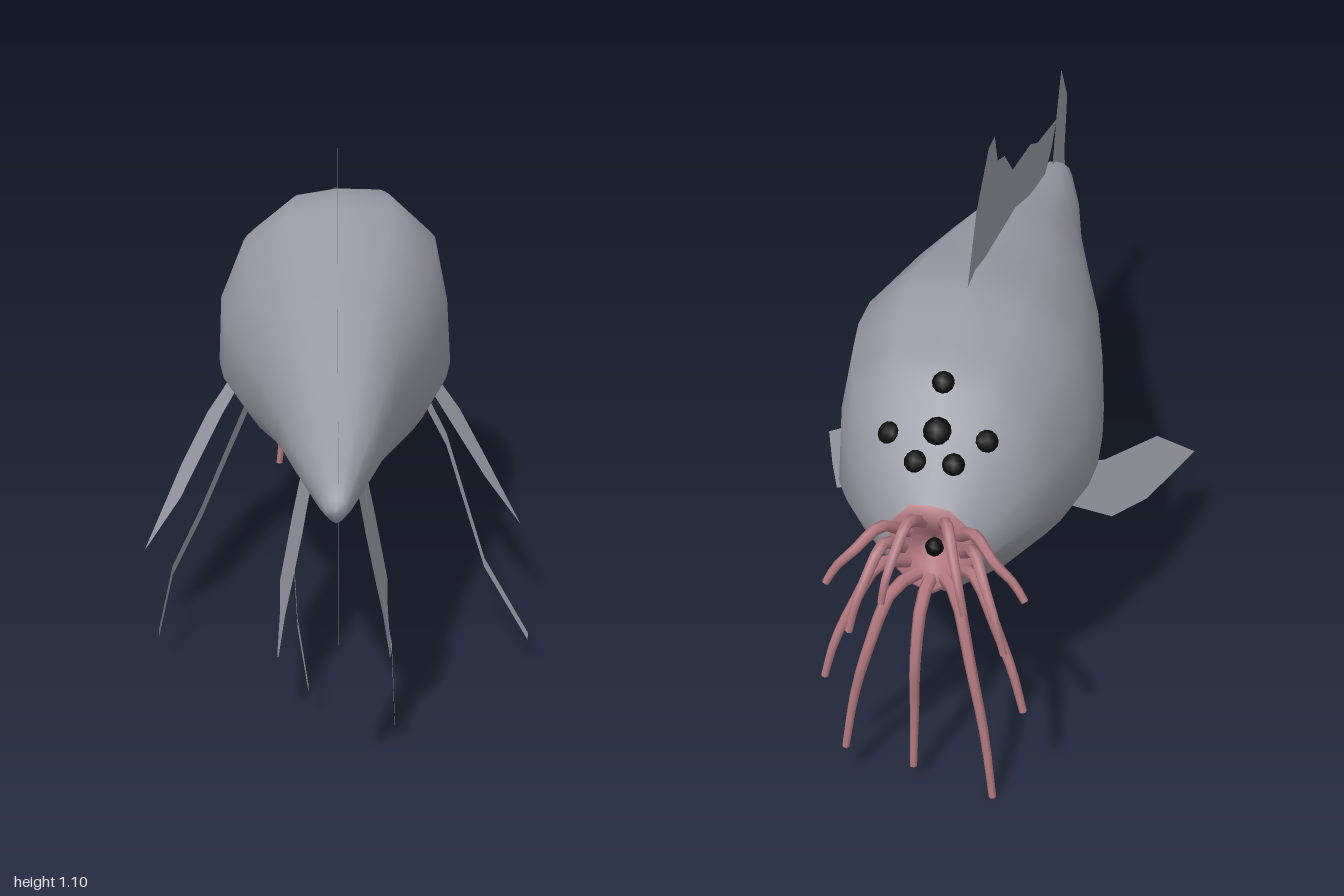
import * as THREE from 'three';

const mat = (name, color) => {
  const m = new THREE.MeshStandardMaterial({ color, side: THREE.DoubleSide });
  m.name = name;
  return m;
};

// Unit cross-section, clockwise from the top when seen from the tail
const SECTION = [
  [0.02, 1], [0.48, 0.99], [0.86, 0.7], [0.97, 0.24], [1, -0.17], [0.79, -0.5], [0.45, -0.82],
  [0.02, -1], [-0.42, -0.76], [-0.78, -0.46], [-1, -0.17], [-0.98, 0.26], [-0.78, 0.68], [-0.4, 0.94],
];

// Skin over cross-sections; each station is [z, top, bottom, half width]
function loft(stations) {
  const pos = [], idx = [], n = SECTION.length;
  stations.forEach(([z, top, bottom, hw], i) => {
    const mid = (top + bottom) / 2, hh = (top - bottom) / 2;
    SECTION.forEach(([u, v], j) => {
      pos.push(u * hw + 0.003, mid + v * hh, z);
      if (i === stations.length - 1) return;
      const a = i * n + j, b = i * n + (j + 1) % n;
      idx.push(a, b, a + n, b, b + n, a + n);
    });
  });
  const g = new THREE.BufferGeometry();
  g.setAttribute('position', new THREE.Float32BufferAttribute(pos, 3));
  g.setIndex(idx);
  g.computeVertexNormals();
  return g;
}

// Flat outline whose points are placed in space by a rule
function sheet(points, place) {
  const g = new THREE.ShapeGeometry(new THREE.Shape(points.map(p => new THREE.Vector2(...p))));
  const p = g.attributes.position;
  for (let i = 0; i < p.count; i++) p.setXYZ(i, ...place(p.getX(i), p.getY(i)));
  g.computeVertexNormals();
  return g;
}

// Upright thin strip following a path, narrowing to its end
function ribbon(path, width) {
  const pos = [], idx = [];
  path.forEach(([x, y, z], i) => {
    const w = width * (1 - 0.5 * i / (path.length - 1)) / 2;
    pos.push(x, y + w, z, x, y - w, z);
    if (i) idx.push(2 * i - 2, 2 * i - 1, 2 * i, 2 * i - 1, 2 * i + 1, 2 * i);
  });
  const g = new THREE.BufferGeometry();
  g.setAttribute('position', new THREE.Float32BufferAttribute(pos, 3));
  g.setIndex(idx);
  g.computeVertexNormals();
  return g;
}

// Tapered six-sided feeler
function feeler(points, r0, r1) {
  const curve = new THREE.CatmullRomCurve3(points.map(p => new THREE.Vector3(...p)));
  const segs = 10, sides = 6;
  const g = new THREE.TubeGeometry(curve, segs, 1, sides);
  const p = g.attributes.position, nrm = g.attributes.normal;
  for (let i = 0; i < p.count; i++) {
    const t = Math.floor(i / (sides + 1)) / segs;
    const k = THREE.MathUtils.lerp(r0, r1, t) - 1;
    p.setXYZ(i, p.getX(i) + nrm.getX(i) * k, p.getY(i) + nrm.getY(i) * k, p.getZ(i) + nrm.getZ(i) * k);
  }
  return g;
}

export function createModel() {
  const model = new THREE.Group();
  const grey = mat('skin grey', 0x9b9ba6);
  const pink = mat('flesh pink', 0xb47a80);
  const black = mat('eye black', 0x0a0a0a);
  const add = (name, geometry, material) => {
    const m = new THREE.Mesh(geometry, material);
    m.name = name;
    model.add(m);
    return m;
  };

  // Body, from tail tip to mouth rim
  add('body', loft([
    [0.855, 0.585, 0.585, 0], [0.85, 0.61, 0.56, 0.022], [0.8, 0.64, 0.545, 0.04],
    [0.6, 0.69, 0.51, 0.088], [0.4, 0.735, 0.455, 0.125], [0.2, 0.8, 0.39, 0.172],
    [0, 0.835, 0.325, 0.225], [-0.2, 0.87, 0.262, 0.264], [-0.32, 0.9, 0.238, 0.278],
    [-0.42, 0.902, 0.218, 0.282], [-0.5, 0.89, 0.218, 0.274], [-0.6, 0.87, 0.262, 0.252],
    [-0.65, 0.86, 0.29, 0.235], [-0.71, 0.825, 0.33, 0.21], [-0.76, 0.765, 0.37, 0.177],
    [-0.81, 0.69, 0.4, 0.135], [-0.86, 0.615, 0.43, 0.085],
  ]), grey);

  // Funnel mouth with a dark throat
  add('mouth', loft([
    [-0.85, 0.63, 0.415, 0.094], [-0.868, 0.61, 0.435, 0.082],
    [-0.845, 0.57, 0.475, 0.045], [-0.81, 0.525, 0.525, 0],
  ]), pink);
  const throat = add('throat', new THREE.SphereGeometry(0.02, 8, 6), black);
  throat.position.set(0, 0.525, -0.84);

  // Back fin and tail fin, upright on the centre line
  const upright = (z, y) => [0.008, y, z];
  add('backFin', sheet([
    [-0.41, 0.9], [-0.3, 1.03], [-0.15, 1.11], [-0.075, 1.105], [-0.04, 1.03], [0.05, 1.0],
    [0.16, 0.915], [0.41, 0.865], [0.52, 0.82], [0.65, 0.79], [0.82, 0.75], [0.74, 0.705],
    [0.6, 0.672], [0.5, 0.65], [0.2, 0.7], [-0.3, 0.8],
  ], upright), grey);
  add('tailFin', sheet([
    [0.89, 0.855], [0.995, 0.74], [0.955, 0.595], [1.0, 0.47], [0.93, 0.26],
    [0.865, 0.31], [0.755, 0.52], [0.72, 0.59], [0.755, 0.65], [0.83, 0.78],
  ], upright), grey);

  for (const s of [1, -1]) {
    const side = s > 0 ? 'left' : 'right';

    // Lance-shaped side fin, sloping outward and down
    const reach = s > 0 ? 0.05 : 0.15;
    add(side + 'SideFin', sheet([
      [-0.53, 0.22], [-0.4, 0.31], [-0.21, 0.365], [reach, 0.435],
      [reach - 0.1, 0.355], [-0.24, 0.27], [-0.4, 0.2],
    ], (z, x) => [s * x, 0.44 - (x - 0.24) * (s > 0 ? 1.03 : 1.16), z]), grey);

    // Broad belly fin
    add(side + 'BellyFin', sheet([
      [0.25, 0.42], [0.38, 0.35], [0.47, 0.28], [0.53, 0.22], [0.65, 0.175], [0.62, 0.163],
      [0.38, 0.172], [0.19, 0.16], [0.03, 0.25], [-0.06, 0.32], [0, 0.42],
    ], (z, y) => [s * (0.05 + (0.42 - y) * 0.28), y, z]), grey);
  }

  // Long trailing strands
  const strands = {
    leftSideStrand: [[0.22, 0.41, -0.38], [0.27, 0.36, -0.2], [0.315, 0.26, 0.03], [0.345, 0.19, 0.16], [0.435, 0.085, 0.34]],
    rightSideStrand: [[-0.2, 0.41, -0.38], [-0.25, 0.34, -0.2], [-0.31, 0.25, 0.0], [-0.37, 0.17, 0.16], [-0.393, 0.09, 0.335]],
    leftBellyStrand: [[0.06, 0.38, 0.0], [0.09, 0.26, 0.28], [0.125, 0.15, 0.55], [0.128, 0.065, 0.755]],
    rightBellyStrand: [[-0.05, 0.36, 0.0], [-0.09, 0.24, 0.28], [-0.08, 0.17, 0.46], [-0.055, 0.1, 0.645]],
  };
  for (const [name, path] of Object.entries(strands)) add(name, ribbon(path, 0.036), grey);

  // Mouth feelers: root angle, height of the arch, tip
  const feelers = [
    [250, 0.46, [-0.145, 0.01, -0.98]], [275, 0.44, [0.028, 0.05, -0.955]], [300, 0.46, [0.17, 0.09, -0.965]],
    [215, 0.51, [-0.21, 0.24, -0.985]], [330, 0.52, [0.205, 0.28, -0.985]], [180, 0.57, [-0.17, 0.38, -0.99]],
    [0, 0.57, [0.15, 0.4, -0.99]], [145, 0.61, [-0.21, 0.5, -0.97]], [35, 0.61, [0.2, 0.5, -0.97]],
    [110, 0.625, [-0.09, 0.47, -0.995]], [70, 0.625, [0.08, 0.48, -0.995]],
  ];
  feelers.forEach(([deg, arch, [x, y, z]], i) => {
    const a = THREE.MathUtils.degToRad(deg);
    const rx = 0.065 * Math.cos(a), ry = 0.525 + 0.07 * Math.sin(a);
    add('feeler' + (i + 1), feeler([
      [rx, ry, -0.85],
      [rx + (x - rx) * 0.3, arch, -0.915],
      [rx + (x - rx) * 0.6, arch + (y - arch) * 0.3, -0.96],
      [rx + (x - rx) * 0.85, arch + (y - arch) * 0.65, z + 0.005],
      [x, y, z],
    ], 0.015, 0.008), pink);
  });

  // Six flat eyes on the brow
  const eyes = [
    [0.005, 0.835, -0.7], [0.005, 0.76, -0.77], [-0.035, 0.705, -0.805],
    [0.045, 0.705, -0.805], [-0.098, 0.745, -0.768], [0.108, 0.745, -0.768],
  ];
  eyes.forEach(([x, y, z], i) => {
    const eye = add('eye' + (i + 1), new THREE.SphereGeometry(i === 1 ? 0.03 : 0.024, 8, 6), black);
    eye.scale.z = 0.6;
    eye.position.set(x, y, z);
    eye.lookAt(x + x * 0.5, y + 0.11, z - 0.12);
  });

  return model;
}
